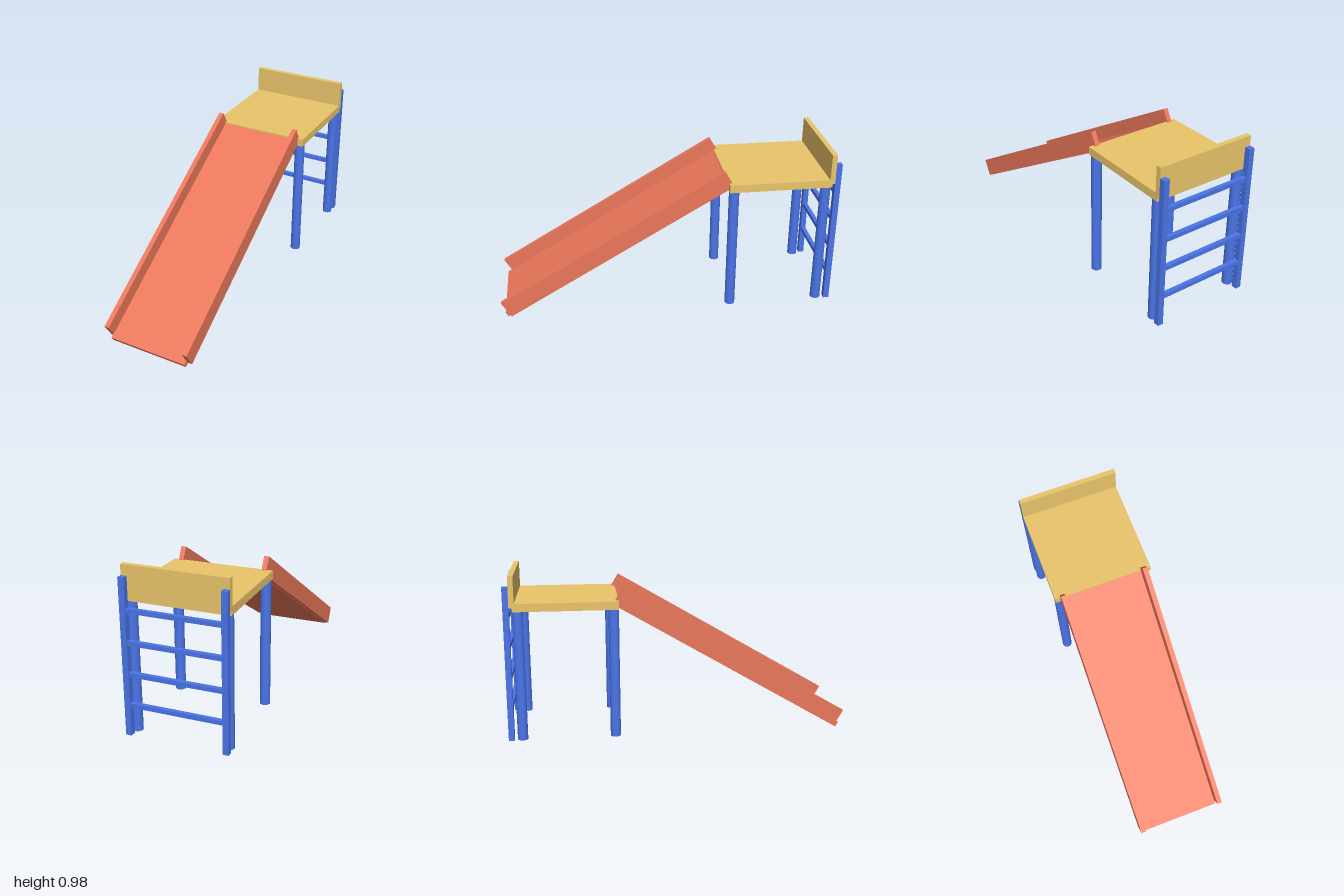
import * as THREE from 'three';

const paint = (color) => new THREE.MeshStandardMaterial({ color });

export function createModel() {
  const model = new THREE.Group();
  model.name = 'playgroundSlide';
  const gold = paint(0xe9c46a);
  const coral = paint(0xea775a);
  const blue = paint(0x4a74e8);

  // Box given by its limits on each axis
  function box(parent, name, mat, [x0, x1], [y0, y1], [z0, z1]) {
    const mesh = new THREE.Mesh(new THREE.BoxGeometry(x1 - x0, y1 - y0, z1 - z0), mat);
    mesh.position.set((x0 + x1) / 2, (y0 + y1) / 2, (z0 + z1) / 2);
    mesh.name = name;
    parent.add(mesh);
  }
  const span = (side, a, b) => (side > 0 ? [a, b] : [-b, -a]);

  // Platform with its back board
  box(model, 'platform', gold, [-0.3, 0.3], [0.773, 0.82], [-0.95, -0.35]);
  box(model, 'backBoard', gold, [-0.3, 0.3], [0.795, 0.975], [-0.966, -0.936]);

  // Four round posts
  const postGeometry = new THREE.CylinderGeometry(0.03, 0.03, 0.765, 24);
  for (const x of [-0.27, 0.27]) {
    for (const z of [-0.38, -0.92]) {
      const post = new THREE.Mesh(postGeometry, blue);
      post.position.set(x, 0.015 + 0.765 / 2, z);
      post.name = 'post';
      model.add(post);
    }
  }

  // Ladder at the back
  const ladder = new THREE.Group();
  ladder.name = 'ladder';
  for (const side of [-1, 1]) {
    box(ladder, 'ladderRail', blue, span(side, 0.266, 0.3), [0.015, 0.915], [-1, -0.966]);
  }
  for (let i = 1; i <= 4; i++) {
    const y = 0.015 + 0.18 * i;
    box(ladder, 'rung', blue, [-0.27, 0.27], [y - 0.0125, y + 0.0125], [-0.9955, -0.9705]);
  }
  model.add(ladder);

  // Chute: local z runs down the slope, local y is its normal
  const chute = new THREE.Group();
  chute.name = 'chute';
  box(chute, 'chuteFloor', coral, [-0.24, 0.24], [0, 0.031], [-1.555, 0]);
  for (const side of [-1, 1]) {
    box(chute, 'chuteWall', coral, span(side, 0.238, 0.267), [0.003, 0.1126], [-1.564, -0.026]);
  }
  chute.rotation.x = THREE.MathUtils.degToRad(30.5);
  chute.position.set(0, 0, 0.965);
  model.add(chute);

  return model;
}
